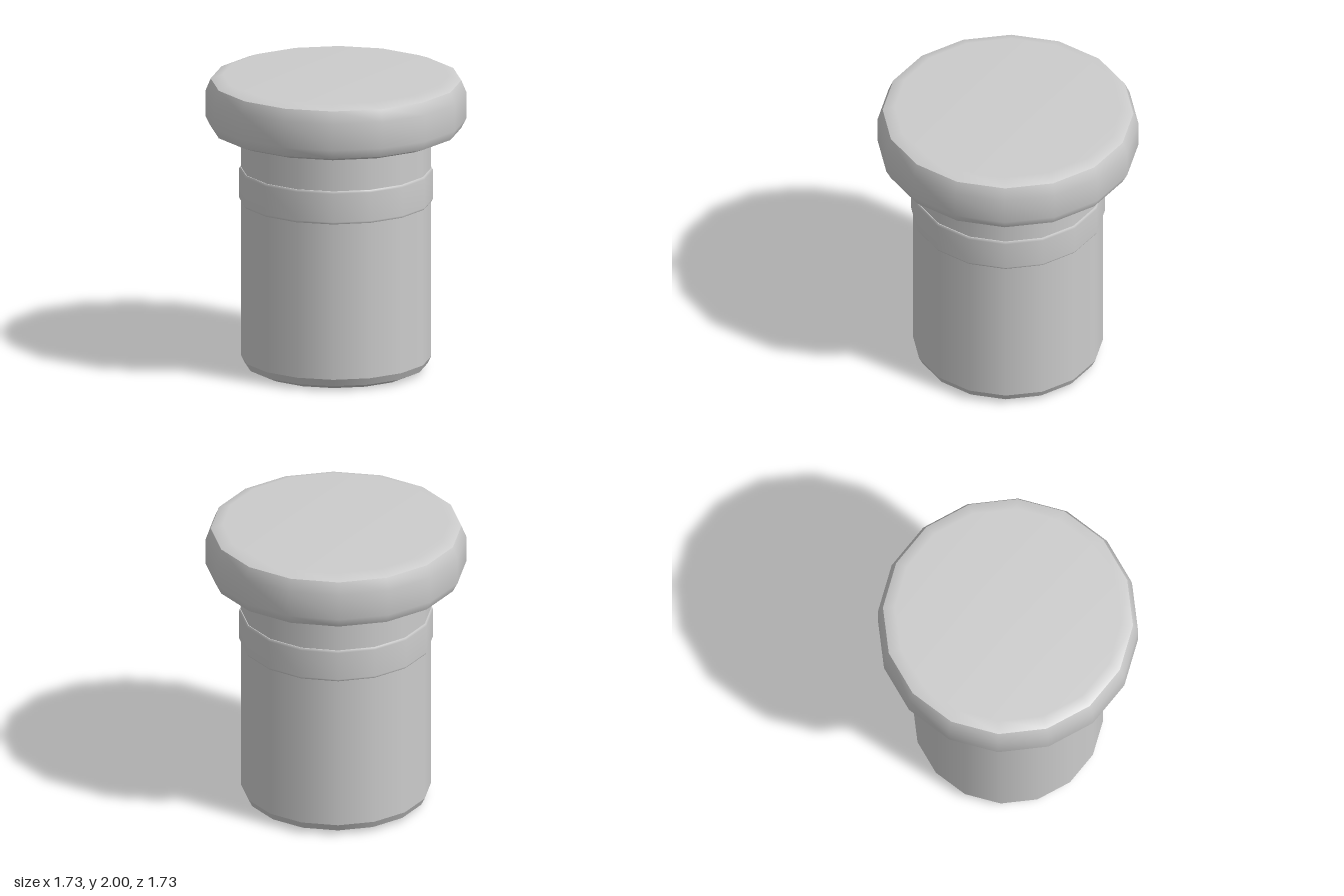
import * as THREE from 'three';

const SIDES = 16;

export function createModel() {
  const model = new THREE.Group();
  const grey = new THREE.MeshStandardMaterial({ color: 0xcccccc });
  grey.name = 'plain grey';

  // Each run is a smooth [radius, height] profile from bottom to top; runs meet in sharp edges.
  function turned(name, runs) {
    const part = new THREE.Group();
    part.name = name;
    runs.forEach((run, i) => {
      const points = run.map(([r, y]) => new THREE.Vector2(r, y));
      const mesh = new THREE.Mesh(new THREE.LatheGeometry(points, SIDES), grey);
      mesh.name = `${name}Surface${i + 1}`;
      part.add(mesh);
    });
    model.add(part);
  }

  // Straight shaft with a bevelled foot
  turned('shaft', [
    [[0, 0], [0.54, 0], [0.605, 0.03]],
    [[0.605, 0.03], [0.63, 0.08]],
    [[0.63, 0.08], [0.63, 1.62]],
  ]);

  // Thin raised band with softened edges
  turned('band', [
    [[0.61, 1.145], [0.635, 1.145]],
    [[0.635, 1.145], [0.643, 1.16], [0.643, 1.355], [0.635, 1.37]],
    [[0.635, 1.37], [0.61, 1.37]],
  ]);

  // Wide head with bevelled rims
  turned('head', [
    [[0, 1.615], [0.75, 1.615], [0.83, 1.645]],
    [[0.83, 1.645], [0.863, 1.71], [0.863, 1.89], [0.83, 1.97]],
    [[0.83, 1.97], [0.75, 2], [0, 2]],
  ]);

  return model;
}
